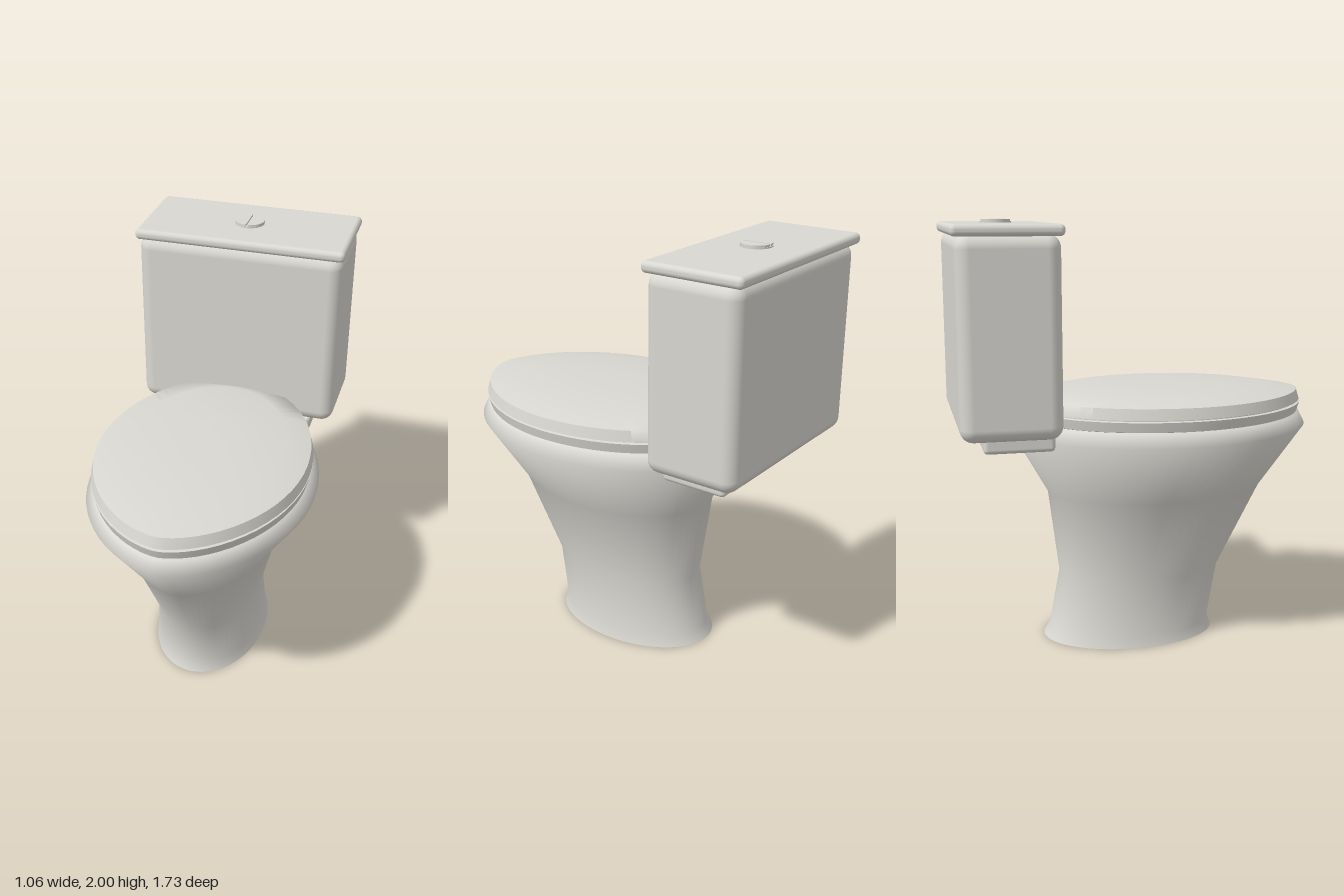
import * as THREE from 'three';
import { toCreasedNormals } from 'three/addons/utils/BufferGeometryUtils.js';
import { RoundedBoxGeometry } from 'three/addons/geometries/RoundedBoxGeometry.js';

const SIDES = 64;

// Egg-shaped rings [y, half width, front z, back z, z of widest point, front taper], skinned and capped.
function eggLoft(rings, crease) {
  const pos = [], idx = [];
  for (const [y, w, front, back, mid, taper] of rings) {
    for (let i = 0; i < SIDES; i++) {
      const t = (i / SIDES) * Math.PI * 2, s = Math.sin(t), c = Math.cos(t);
      const x = Math.sign(s) * Math.pow(Math.abs(s), c > 0 ? taper : 1) * w;
      pos.push(x, y, mid + c * (c > 0 ? front - mid : mid - back));
    }
  }
  const last = rings.length - 1;
  for (let r = 0; r < last; r++) {
    for (let i = 0; i < SIDES; i++) {
      const a = r * SIDES + i, b = r * SIDES + (i + 1) % SIDES;
      idx.push(a, b, b + SIDES, a, b + SIDES, a + SIDES);
    }
  }
  const bottom = pos.length / 3, top = bottom + 1;
  pos.push(0, rings[0][0], rings[0][4], 0, rings[last][0], rings[last][4]);
  for (let i = 0; i < SIDES; i++) {
    const j = (i + 1) % SIDES;
    idx.push(bottom, j, i, top, last * SIDES + i, last * SIDES + j);
  }
  const g = new THREE.BufferGeometry();
  g.setAttribute('position', new THREE.Float32BufferAttribute(pos, 3));
  g.setIndex(idx);
  return toCreasedNormals(g, crease);
}

export function createModel() {
  const group = new THREE.Group();
  const ceramic = new THREE.MeshStandardMaterial({ color: 0xd9d7d1 });
  ceramic.name = 'ceramic';

  const add = (name, geometry, x = 0, y = 0, z = 0) => {
    const mesh = new THREE.Mesh(geometry, ceramic);
    mesh.name = name;
    mesh.position.set(x, y, z);
    group.add(mesh);
    return mesh;
  };
  const box = (name, w, y0, y1, z0, z1, r) =>
    add(name, new RoundedBoxGeometry(w, y1 - y0, z1 - z0, 5, r), 0, (y0 + y1) / 2, (z0 + z1) / 2);

  // Pedestal flaring into the bowl and its rim
  add('bowl', eggLoft([
    [0, 0.28, 0.40, -0.44, -0.02, 1],
    [0.05, 0.267, 0.38, -0.41, -0.02, 1],
    [0.32, 0.255, 0.43, -0.36, 0.02, 1.02],
    [0.72, 0.35, 0.64, -0.41, 0.08, 1.08],
    [1.02, 0.53, 0.865, -0.58, 0.15, 1.2],
    [1.08, 0.49, 0.835, -0.55, 0.15, 1.2],
  ], 1.2));

  // Seat ring and closed lid, with a thin recessed gap between them
  add('seat', eggLoft([
    [1.075, 0.45, 0.78, -0.48, 0.15, 1.2],
    [1.085, 0.49, 0.825, -0.51, 0.15, 1.2],
    [1.13, 0.5, 0.84, -0.52, 0.15, 1.2],
    [1.133, 0.485, 0.82, -0.5, 0.15, 1.2],
    [1.145, 0.485, 0.82, -0.5, 0.15, 1.2],
  ], 0.8));
  add('lid', eggLoft([
    [1.14, 0.5, 0.835, -0.515, 0.15, 1.2],
    [1.19, 0.488, 0.82, -0.5, 0.15, 1.2],
    [1.216, 0.37, 0.66, -0.38, 0.15, 1.2],
    [1.224, 0.12, 0.3, -0.05, 0.13, 1.1],
  ], 1.1));

  // Tank, its cover and the ledge beneath
  box('tankLedge', 0.76, 1.0, 1.075, -0.745, -0.43, 0.02);
  box('tank', 0.98, 1.07, 1.945, -0.85, -0.405, 0.06);
  box('tankCover', 1.0, 1.935, 1.985, -0.867, -0.393, 0.022);

  // Two-part flush button split by a narrow slot
  add('buttonBase', new THREE.CylinderGeometry(0.07, 0.07, 0.012, 40), 0, 1.985, -0.63);
  for (const side of [-1, 1]) {
    const half = new THREE.Shape();
    half.absarc(0, 0, 0.066, -Math.PI / 2, Math.PI / 2, false);
    const geometry = new THREE.ExtrudeGeometry(half, { depth: 0.01, bevelEnabled: false, curveSegments: 20 });
    geometry.rotateX(-Math.PI / 2);
    if (side < 0) geometry.rotateY(Math.PI);
    add(side > 0 ? 'leftButton' : 'rightButton', geometry, side * 0.004, 1.99, -0.63);
  }
  return group;
}
